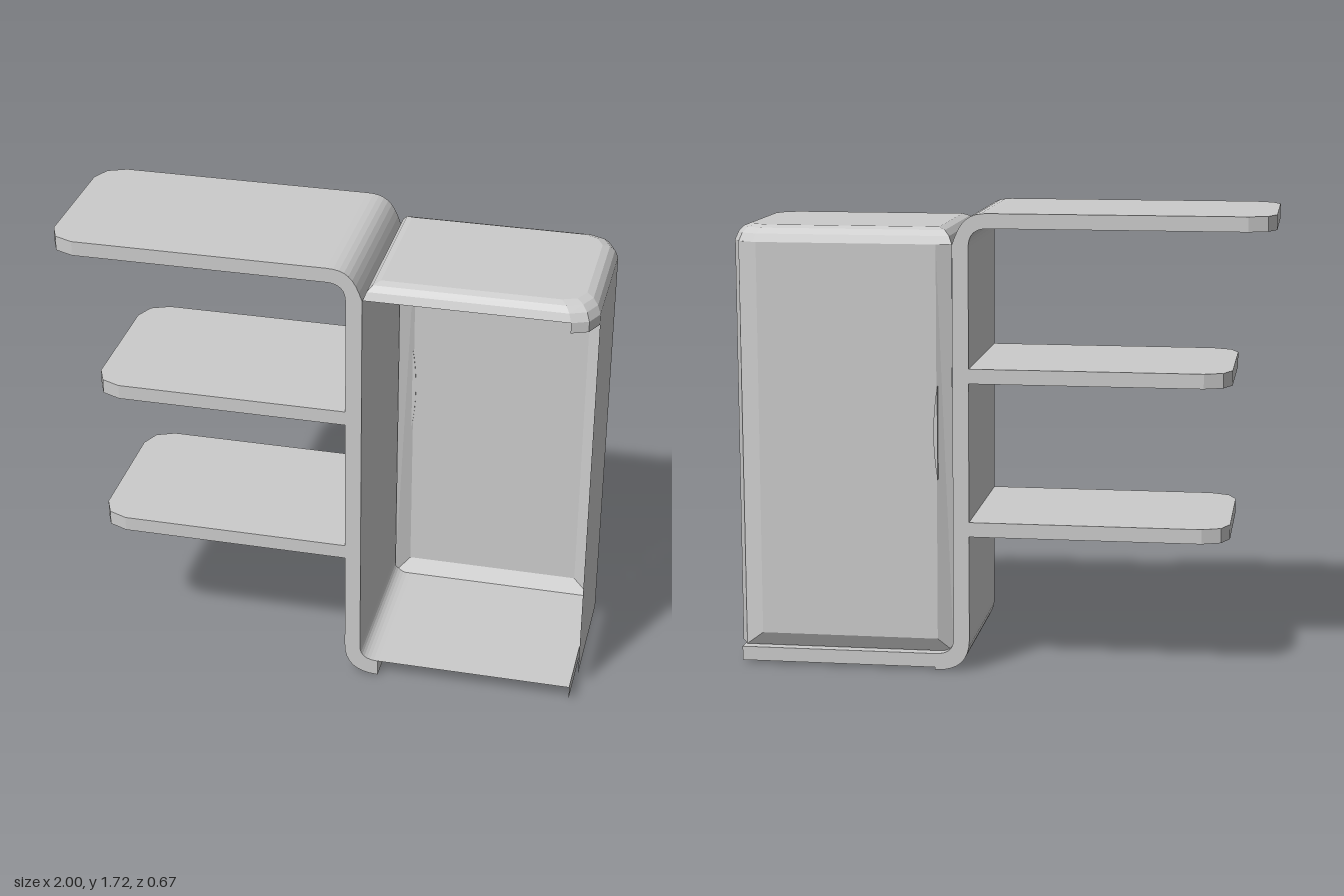
import * as THREE from 'three';

const mat = new THREE.MeshStandardMaterial({ color: 0xcccccc, flatShading: true, side: THREE.DoubleSide });
const FRONT = 0.335, BACK = -0.325;

function add(parent, name, geometry) {
  const mesh = new THREE.Mesh(geometry, mat);
  mesh.name = name;
  parent.add(mesh);
  return mesh;
}

// Open or closed band between successive rings of [x, y, z] points
function loft(rings, closed, cap) {
  const n = rings[0].length, index = [];
  for (let r = 0; r < rings.length - 1; r++)
    for (let i = 0; i < (closed ? n : n - 1); i++) {
      const a = r * n + i, b = r * n + (i + 1) % n;
      index.push(a, b, b + n, a, b + n, a + n);
    }
  const last = (rings.length - 1) * n;
  if (cap) for (let i = 1; i < n - 1; i++) index.push(last, last + i, last + i + 1);
  const g = new THREE.BufferGeometry();
  g.setAttribute('position', new THREE.Float32BufferAttribute(rings.flat(2), 3));
  g.setIndex(index);
  g.computeVertexNormals();
  return g;
}

// Shelf board with clipped outer corners
function shelf(parent, name, x0, x1, y0, y1) {
  const plan = [[x1, FRONT], [x0 + 0.1, FRONT], [x0 + 0.03, FRONT - 0.03], [x0, FRONT - 0.1],
    [x0, BACK + 0.1], [x0 + 0.03, BACK + 0.03], [x0 + 0.1, BACK], [x1, BACK]];
  const shape = new THREE.Shape(plan.map(([x, z]) => new THREE.Vector2(x, -z)));
  const g = new THREE.ExtrudeGeometry(shape, { depth: y1 - y0, bevelEnabled: false });
  g.rotateX(-Math.PI / 2).translate(0, y0, 0);
  add(parent, name, g);
}

export function createModel() {
  const model = new THREE.Group();
  model.name = 'shelfCabinet';

  // Open shelves
  shelf(model, 'topShelf', -1, 0.04, 1.66, 1.715);
  shelf(model, 'middleShelf', -0.85, 0.115, 1.09, 1.145);
  shelf(model, 'lowerShelf', -0.85, 0.115, 0.515, 0.57);

  // Upright that bends into the top shelf and into the base
  const s = new THREE.Shape();
  s.moveTo(0.04, 1.715);
  s.bezierCurveTo(0.11, 1.715, 0.14, 1.69, 0.17, 1.6);
  s.lineTo(0.17, 0.12);
  s.quadraticCurveTo(0.17, 0.063, 0.24, 0.063);
  s.lineTo(0.24, 0);
  s.quadraticCurveTo(0.11, 0, 0.11, 0.12);
  s.lineTo(0.11, 1.59);
  s.quadraticCurveTo(0.11, 1.66, 0.04, 1.66);
  const upright = new THREE.ExtrudeGeometry(s, { depth: FRONT - BACK, bevelEnabled: false, curveSegments: 8 });
  add(model, 'bentUpright', upright.translate(0, 0, BACK));

  // Base: top sheet with back and end rims
  const base = new THREE.Group();
  base.name = 'base';
  model.add(base);
  const [bx0, bx1, by0, by1] = [0.24, 0.98, 0.01, 0.063];
  add(base, 'baseTop', loft([
    [[bx0, by1, FRONT], [bx1, by1, FRONT]], [[bx0, by1, BACK], [bx1, by1, BACK]]]));
  add(base, 'baseRim', loft([by0, by1].map(y =>
    [[bx1, y, FRONT], [bx1, y, BACK], [bx0, y, BACK]])));

  // Cabinet side wall with clipped back corner, down to the base
  const cabinet = new THREE.Group();
  cabinet.name = 'cabinet';
  model.add(cabinet);
  const wall = [[1, 0.24], [1, -0.23], [0.97, -0.29]];
  add(cabinet, 'sideWall', loft([0.065, 1.6].map(y => wall.map(([x, z]) => [x, y, z]))));

  // Front corner stub under the top
  const corner = [[0.91, 0.33], [0.97, 0.305], [1, 0.24]];
  add(cabinet, 'frontCorner', loft([1.56, 1.6].map(y => corner.map(([x, z]) => [x, y, z]))));

  // Back door: flat panel with sloping border
  const door = (x0, x1, y0, y1, z) => [[x1, y0, z], [x0, y0, z], [x0, y1, z], [x1, y1, z]];
  const rim = door(0.175, 0.97, 0.065, 1.6, -0.29);
  rim[2][2] = rim[3][2] = -0.3;
  add(cabinet, 'backDoor', loft([rim, door(0.23, 0.9, 0.12, 1.6, -0.322)], true, true));

  // Domed top with rounded edges
  const plan = [[0.17, 0.33], [0.91, 0.33], [0.97, 0.305], [1, 0.24],
    [1, -0.23], [0.97, -0.295], [0.91, -0.322], [0.17, -0.322]];
  const rings = [[0, 1.6], [0.012, 1.63], [0.03, 1.65], [0.055, 1.66]].map(([d, y]) =>
    plan.map(([x, z]) => [0.585 + (x - 0.585) * (1 - d / 0.415), y, 0.004 + (z - 0.004) * (1 - d / 0.326)]));
  add(cabinet, 'cabinetTop', loft(rings, true, true));

  // Slim bowed door handle
  const h = new THREE.Shape();
  h.moveTo(0.225, 0.73);
  h.quadraticCurveTo(0.255, 0.905, 0.225, 1.08);
  h.closePath();
  const handle = new THREE.ExtrudeGeometry(h, { depth: 0.016, bevelEnabled: false, curveSegments: 8 });
  add(cabinet, 'doorHandle', handle.translate(0, 0, -0.335));

  return model;
}
